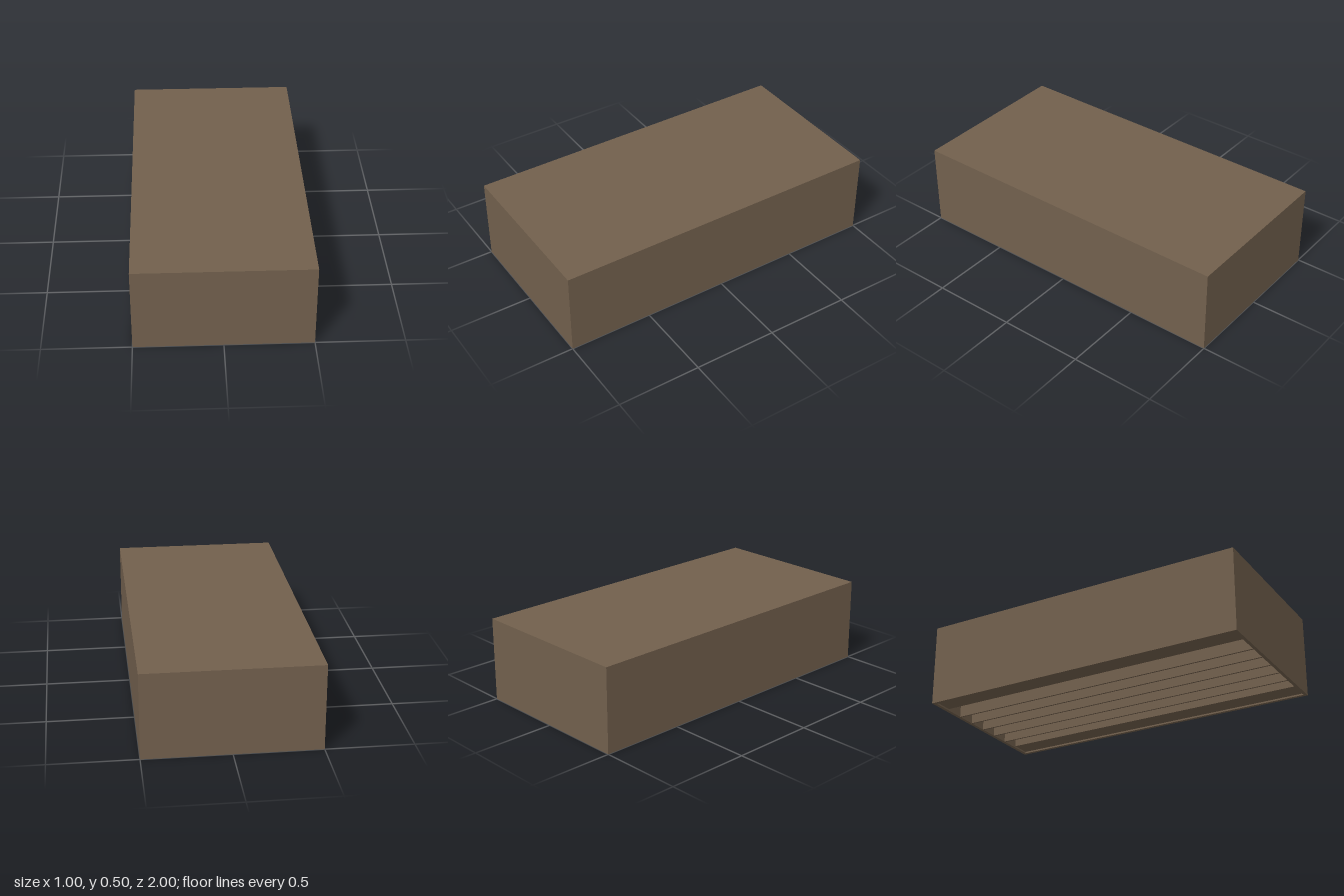
import * as THREE from 'three';

export function createModel() {
  const group = new THREE.Group();
  const brown = new THREE.MeshStandardMaterial({ color: 0x72604d });
  brown.name = 'brown';

  const wall = 0.02;      // rim thickness
  const depth = 0.11;     // depth of the slots underneath
  const pitch = 0.12;     // slot spacing
  const innerW = 1 - 2 * wall, innerL = 2 - 2 * wall;

  const add = (name, geometry, x = 0, y = 0, z = 0) => {
    const mesh = new THREE.Mesh(geometry, brown);
    mesh.name = name;
    mesh.position.set(x, y, z);
    group.add(mesh);
    return mesh;
  };

  // Outer walls: a rectangular ring extruded upward
  const rect = (Type, w, l) => new Type([
    new THREE.Vector2(-w / 2, -l / 2), new THREE.Vector2(w / 2, -l / 2),
    new THREE.Vector2(w / 2, l / 2), new THREE.Vector2(-w / 2, l / 2),
  ]);
  const ring = rect(THREE.Shape, 1, 2);
  ring.holes.push(rect(THREE.Path, innerW, innerL));
  const shell = new THREE.ExtrudeGeometry(ring, { depth: 0.5, bevelEnabled: false });
  shell.rotateX(-Math.PI / 2);
  add('outerWalls', shell);

  // Solid core closing the top and the slots
  add('core', new THREE.BoxGeometry(innerW, 0.5 - depth, innerL), 0, (0.5 + depth) / 2, 0);

  // Flat side bands, slightly recessed behind the rim
  const recess = 0.01;
  for (const side of [1, -1]) {
    add(side > 0 ? 'leftBand' : 'rightBand',
      new THREE.BoxGeometry(pitch, depth - recess, innerL),
      side * (0.5 - wall - pitch / 2), (depth + recess) / 2, 0);
  }

  // Thin lengthwise slats dividing the underside into six slots
  for (let i = -2; i <= 2; i++) {
    add('slat', new THREE.BoxGeometry(0.01, depth, innerL), i * pitch, depth / 2, 0);
  }

  return group;
}
